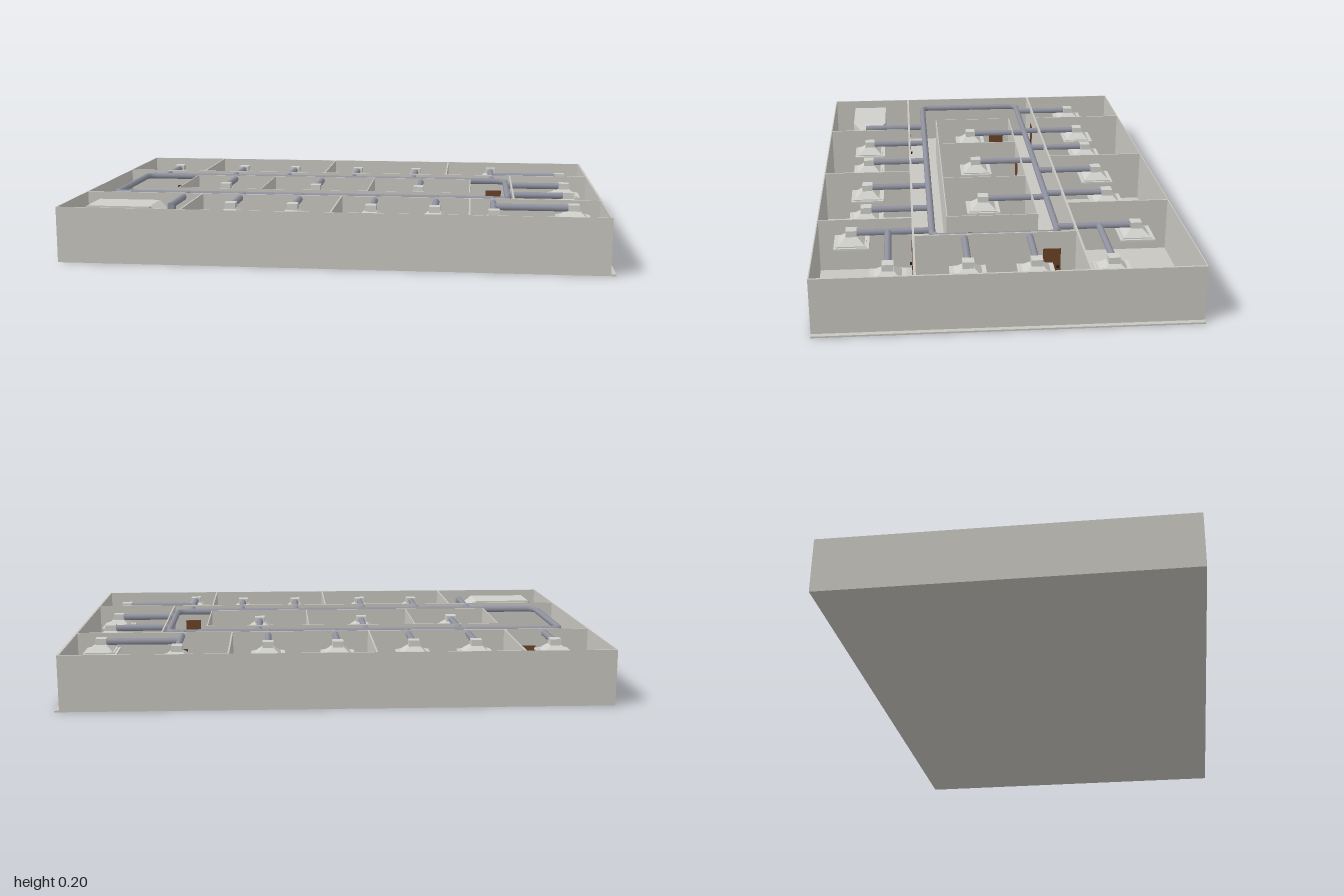
import * as THREE from 'three';

const mat = (name, color, side = THREE.FrontSide) => {
  const m = new THREE.MeshStandardMaterial({ color, side });
  m.name = name;
  return m;
};

export function createModel() {
  const plaster = mat('plaster', 0xc8c6c0);
  const steel = mat('duct steel', 0x9093a0);
  const white = mat('vent grey', 0xcfcfcb);
  const brown = mat('door wood', 0x6b4226);
  const dark = mat('handle black', 0x1c1a18);

  const model = new THREE.Group();
  model.name = 'officeFloor';
  const group = (name, parent = model) => {
    const g = new THREE.Group();
    g.name = name;
    parent.add(g);
    return g;
  };
  const add = (parent, name, geo, m, x = 0, y = 0, z = 0) => {
    const mesh = new THREE.Mesh(geo, m);
    mesh.name = name;
    mesh.position.set(x, y, z);
    parent.add(mesh);
    return mesh;
  };
  // Box given by its limits on each axis
  const block = (parent, name, m, x0, x1, y0, y1, z0, z1) =>
    add(parent, name, new THREE.BoxGeometry(x1 - x0, y1 - y0, z1 - z0), m,
      (x0 + x1) / 2, (y0 + y1) / 2, (z0 + z1) / 2);

  // Floor slab
  block(model, 'floor', plaster, -1, 1, 0, 0.006, -0.66, 0.66);

  // Walls: centre lines along x or z
  const walls = group('walls');
  const top = 0.205;
  const wallX = (name, z, x0, x1, t = 0.008) =>
    block(walls, name, plaster, x0, x1, 0.006, top, z - t / 2, z + t / 2);
  const wallZ = (name, x, z0, z1, t = 0.008) =>
    block(walls, name, plaster, x - t / 2, x + t / 2, 0.006, top, z0, z1);
  wallX('outerBackWall', -0.658, -1, 0.982, 0.004);
  wallX('outerFrontWall', 0.658, -1, 0.982, 0.004);
  wallZ('outerRightWall', -0.998, -0.656, 0.656, 0.004);
  wallZ('outerLeftWall', 0.978, -0.656, 0.656);
  wallX('backCorridorWall', -0.27, -0.996, 0.974);
  wallX('frontCorridorWall', 0.313, -0.996, 0.974);
  for (const x of [-0.67, -0.14, 0.385]) wallZ('backPartition', x, -0.656, -0.274, 0.006);
  for (const x of [-0.54, 0.002, 0.49]) wallZ('frontPartition', x, 0.317, 0.656, 0.006);
  wallZ('sideRoomWall', 0.655, -0.266, 0.309, 0.006);
  for (const z of [-0.148, 0.187]) wallX('coreWall', z, -0.67, 0.49, 0.004);
  for (const x of [-0.668, -0.335, 0.088, 0.488]) wallZ('corePartition', x, -0.146, 0.185, 0.004);

  // Doors: a panel through the wall with a handle on both sides
  const doors = group('doors');
  const door = (x, z, alongZ) => {
    const d = group('door', doors);
    block(d, 'doorPanel', brown, -0.032, 0.032, 0.006, 0.14, -0.006, 0.006);
    for (const s of [-1, 1])
      block(d, 'doorHandle', dark, 0.017, 0.026, 0.066, 0.074, s * 0.009 - 0.004, s * 0.009 + 0.004);
    d.position.set(x, 0, z);
    if (alongZ) d.rotation.y = Math.PI / 2;
  };
  door(-0.76, -0.27); door(0.588, -0.27);
  door(-0.63, 0.313); door(0.575, 0.313);
  door(-0.26, -0.148);
  door(0.653, -0.18, true); door(-0.668, -0.09, true); door(0.488, 0.095, true);

  // Main duct loop with rounded corners
  const ducts = group('ducts');
  const R = 0.0125, Y = 0.19;
  const loop = new THREE.CurvePath();
  const [x0, x1, z0, z1, c] = [-0.905, 0.635, -0.205, 0.245, 0.035];
  const P = (x, z) => new THREE.Vector3(x, Y, z);
  const corners = [[x0, z0, 0, 1, 1, 0], [x1, z0, -1, 0, 0, 1], [x1, z1, 0, -1, -1, 0], [x0, z1, 1, 0, 0, -1]];
  corners.forEach(([x, z, ax, az, bx, bz], i) => {
    const out = P(x + bx * c, z + bz * c);
    loop.add(new THREE.QuadraticBezierCurve3(P(x + ax * c, z + az * c), P(x, z), out));
    const [nx, nz, nax, naz] = corners[(i + 1) % 4];
    loop.add(new THREE.LineCurve3(out, P(nx + nax * c, nz + naz * c)));
  });
  add(ducts, 'mainDuctLoop', new THREE.TubeGeometry(loop, 320, R, 8, true), steel);

  // Straight branch between two plan points
  const branch = (ax, az, bx, bz) => {
    const g = new THREE.CylinderGeometry(R, R, Math.hypot(bx - ax, bz - az), 8);
    const m = add(ducts, 'branchDuct', g, steel, (ax + bx) / 2, Y, (az + bz) / 2);
    if (ax === bx) m.rotation.x = Math.PI / 2;
    else m.rotation.z = Math.PI / 2;
  };

  // Ceiling vent: rimmed plate, sloping hood and square neck
  const vents = group('vents');
  const hood = new THREE.CylinderGeometry(0.022 * Math.SQRT2, 0.047 * Math.SQRT2, 0.022, 4, 1)
    .rotateY(Math.PI / 4).toNonIndexed();
  hood.computeVertexNormals();
  const vent = (x, z) => {
    const v = group('vent', vents);
    block(v, 'ventPlate', white, -0.063, 0.063, 0.148, 0.155, -0.063, 0.063);
    block(v, 'ventRim', white, -0.054, 0.054, 0.155, 0.159, -0.054, 0.054);
    add(v, 'ventHood', hood, white, 0, 0.17, 0);
    block(v, 'ventNeck', white, -0.02, 0.02, 0.178, 0.204, -0.02, 0.02);
    v.position.set(x, 0, z);
  };
  for (const x of [-0.825, -0.528, -0.295, -0.012, 0.247]) { branch(x, z0, x, -0.44); vent(x, -0.445); }
  for (const x of [-0.507, -0.135, 0.283]) { branch(x, z0, x, 0.03); vent(x, 0.04); }
  for (const x of [-0.392, -0.16, 0.13, 0.363]) { branch(x, z1, x, 0.48); vent(x, 0.485); }
  branch(0.577, z0, 0.577, -0.49); vent(0.577, -0.495);
  branch(0.577, z1, 0.577, 0.53); vent(0.577, 0.533);
  for (const [x, z] of [[0.577, -0.362], [x1, -0.1], [x1, 0.132], [0.577, 0.402]]) {
    branch(x, z, 0.865, z);
    vent(0.87, z);
  }

  // Air handling unit with tapered ends
  const unit = group('airHandler');
  const uy = 0.14, uz = 0.492;
  block(unit, 'unitBody', white, -0.915, -0.68, 0.085, 0.195, 0.42, 0.565);
  const taper = (name, xa, xb, small) => {
    const len = Math.abs(xb - xa), s = Math.SQRT2;
    const g = new THREE.CylinderGeometry(small * s, 0.0725 * s, len, 4).rotateY(Math.PI / 4)
      .scale(0.76, 1, 1).toNonIndexed();
    g.computeVertexNormals();
    const m = add(unit, name, g, white, (xa + xb) / 2, uy, uz);
    m.rotation.z = xb > xa ? -Math.PI / 2 : Math.PI / 2;
  };
  taper('outletTaper', -0.68, -0.627, 0.03);
  taper('inletTaper', -0.915, -0.953, 0.035);
  block(unit, 'inletNeck', white, -0.97, -0.953, uy - 0.015, uy + 0.015, uz - 0.015, uz + 0.015);
  branch(-0.615, z1, -0.615, 0.508);
  block(unit, 'outletDuct', steel, -0.6275, -0.6025, uy - 0.02, Y, uz - 0.016, uz + 0.016);

  return model;
}
